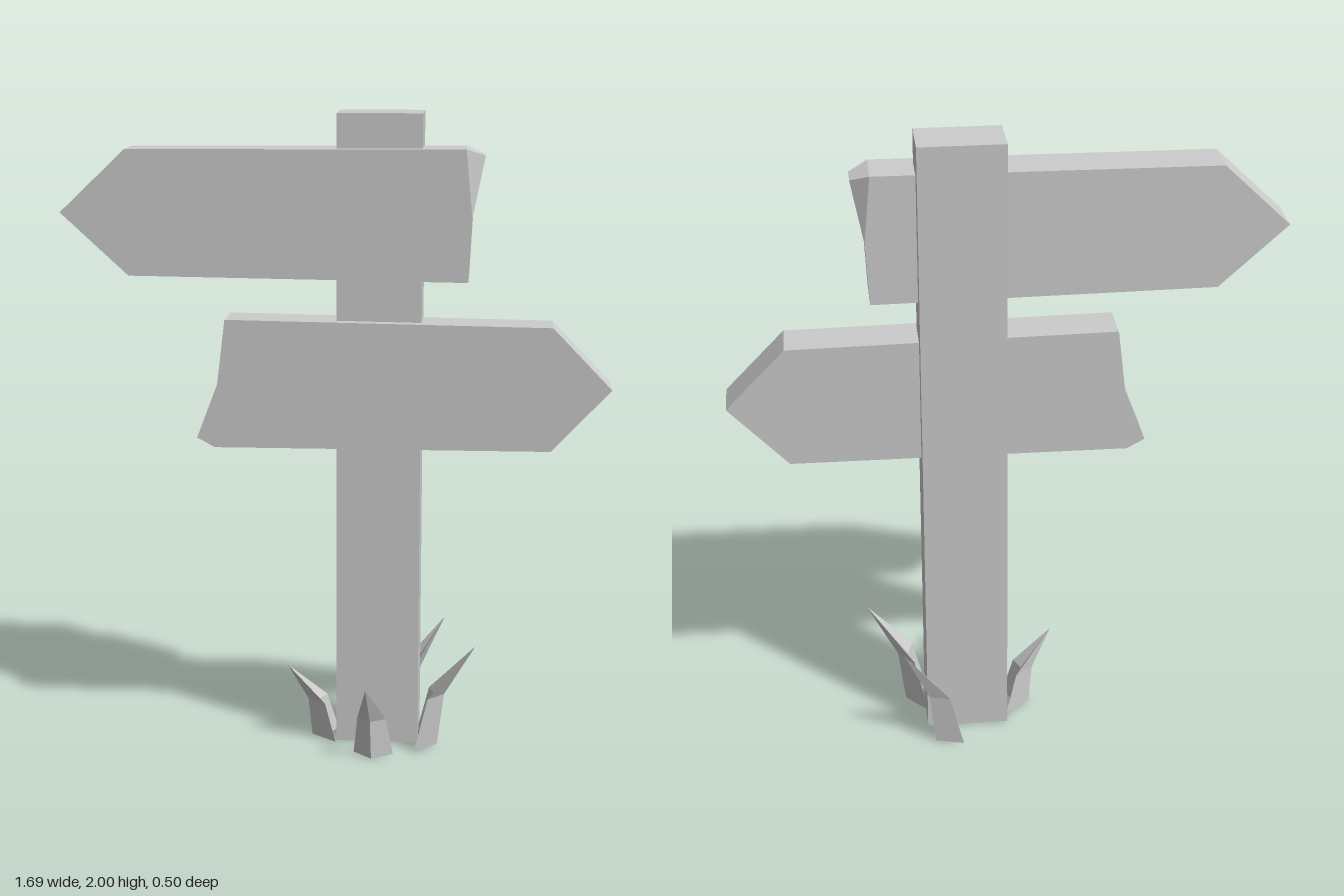
import * as THREE from 'three';

const gray = new THREE.MeshStandardMaterial({ color: 0xcccccc });
gray.name = 'plain gray';
gray.flatShading = true;

// Faceted mesh from a list of triangles, each three corner points
function facetMesh(name, triangles) {
  const geometry = new THREE.BufferGeometry();
  geometry.setAttribute('position', new THREE.Float32BufferAttribute(triangles.flat(2), 3));
  geometry.computeVertexNormals();
  const mesh = new THREE.Mesh(geometry, gray);
  mesh.name = name;
  return mesh;
}

// Side walls between two matching rings (counter-clockwise seen from ring b)
function walls(a, b) {
  return a.flatMap((p, i) => {
    const j = (i + 1) % a.length;
    return [[p, a[j], b[j]], [p, b[j], b[i]]];
  });
}

// Board from an outline [x, y, inset]; caps fan out from the first point
function board(name, outline) {
  const front = outline.map(([x, y, inset = 0]) => [x, y, 0.05 - inset]);
  const back = outline.map(([x, y, inset = 0]) => [x, y, -0.09 + inset]);
  const triangles = walls(back, front);
  for (let i = 1; i < outline.length - 1; i++) {
    triangles.push([front[0], front[i], front[i + 1]], [back[0], back[i + 1], back[i]]);
  }
  return facetMesh(name, triangles);
}

// Creased grass blade: chevron section from edge a to edge b [x, z], leaning to the tip
function blade(name, a, b, depth, tip) {
  const width = Math.hypot(b[0] - a[0], b[1] - a[1]);
  const side = [(b[0] - a[0]) / width, (b[1] - a[1]) / width];
  const out = [-side[1], side[0]];
  const center = [(a[0] + b[0]) / 2, (a[1] + b[1]) / 2];
  const ring = (t, y, scale) => {
    const cx = THREE.MathUtils.lerp(center[0], tip[0], t);
    const cz = THREE.MathUtils.lerp(center[1], tip[2], t);
    return [[-width / 2, 0], [0, depth], [width / 2, 0], [0, depth * 0.35]].map(([s, o]) => [
      cx + (side[0] * s + out[0] * o) * scale, y, cz + (side[1] * s + out[1] * o) * scale]);
  };
  const base = ring(0, 0, 1);
  const middle = ring(0.22, tip[1] * 0.5, 0.72);
  const triangles = walls(base, middle);
  middle.forEach((p, i) => triangles.push([p, middle[(i + 1) % 4], tip]));
  triangles.push([base[3], base[1], base[0]], [base[3], base[2], base[1]]);
  return facetMesh(name, triangles);
}

export function createModel() {
  const model = new THREE.Group();
  model.name = 'signpost';

  // Upright post
  const post = new THREE.Mesh(new THREE.BoxGeometry(0.26, 2, 0.16), gray);
  post.name = 'post';
  post.position.set(0.128, 1, -0.065);
  model.add(post);

  // Arrow boards, the upper one with a chipped corner
  model.add(
    board('upperArrowBoard', [[0.41, 1.69], [0.447, 1.875, 0.035], [0.39, 1.897], [-0.645, 1.89],
      [-0.848, 1.697], [-0.64, 1.505], [0.4, 1.495]]),
    board('lowerArrowBoard', [[-0.37, 1.17], [-0.435, 1.0], [-0.38, 0.97], [0.66, 0.975],
      [0.843, 1.17], [0.66, 1.36], [-0.345, 1.372]]),
  );

  // Grass around the foot
  model.add(
    blade('frontGrass', [0.06, 0.11], [0.185, 0.12], 0.05, [0.105, 0.255, 0.25]),
    blade('leftGrass', [0.25, 0.1], [0.25, -0.06], 0.07, [0.44, 0.345, 0.06]),
    blade('rightGrass', [-0.005, -0.1], [-0.005, 0.03], 0.08, [-0.16, 0.25, 0.01]),
    blade('backGrass', [0.2, -0.145], [0.15, -0.25], 0.07, [0.335, 0.345, -0.24]),
  );
  return model;
}
